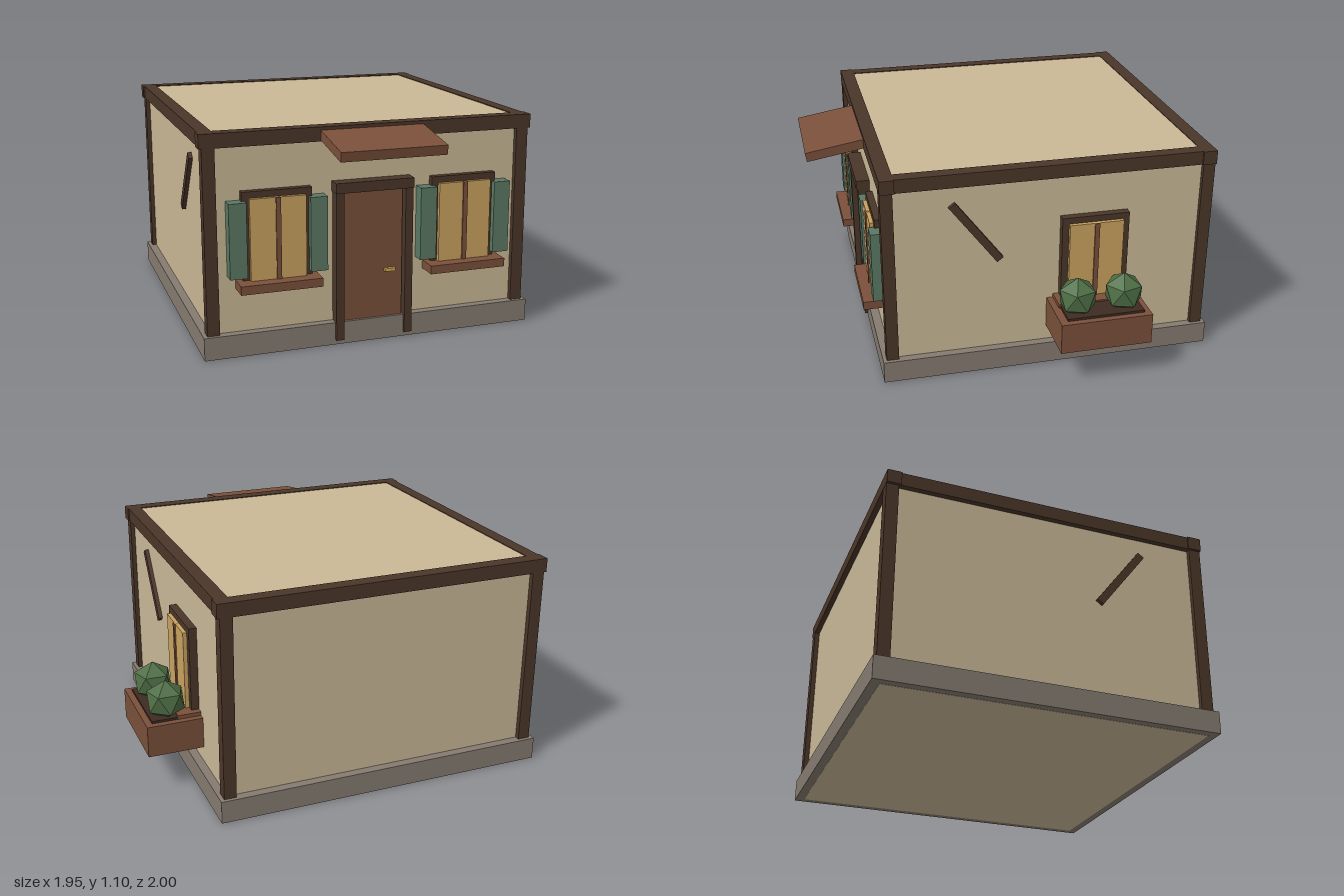
import * as THREE from 'three';

const material = (name, color) => Object.assign(new THREE.MeshStandardMaterial({ color }), { name });

export function createModel() {
  const plaster = material('plaster', 0xc9b896);
  const timber = material('dark timber', 0x4b3629);
  const wood = material('brown wood', 0x7a503a);
  const glass = material('amber glass', 0xc9a25f);
  const green = material('shutter green', 0x5b7863);
  const stone = material('stone', 0x857b70);
  const leaf = material('leaf green', 0x4e6e45);
  const soil = material('soil', 0x3e2b21);
  const brass = material('brass', 0xd4aa55);
  leaf.flatShading = true;

  const model = new THREE.Group();
  model.name = 'cottage';

  // Box given by its minimum and maximum corners
  function box(parent, name, mat, x0, x1, y0, y1, z0, z1) {
    const mesh = new THREE.Mesh(new THREE.BoxGeometry(x1 - x0, y1 - y0, z1 - z0), mat);
    mesh.position.set((x0 + x1) / 2, (y0 + y1) / 2, (z0 + z1) / 2);
    mesh.name = name;
    parent.add(mesh);
    return mesh;
  }

  // House body, centred on its own plan
  const house = new THREE.Group();
  house.name = 'house';
  house.position.set(-0.122, 0, -0.14);
  model.add(house);
  box(house, 'foundation', stone, -0.858, 0.858, 0, 0.115, -0.86, 0.86);
  box(house, 'walls', plaster, -0.815, 0.815, -0.001, 1.096, -0.815, 0.815);

  // Corner posts, top beams and side braces
  for (const s of [-1, 1]) {
    for (const t of [-1, 1]) {
      const post = box(house, 'cornerPost', timber, -0.031, 0.031, 0.115, 1.03, -0.031, 0.031);
      post.position.x = s * 0.807;
      post.position.z = t * 0.81;
    }
    const cross = box(house, 'crossBeam', timber, -0.851, 0.851, 1.03, 1.1, -0.036, 0.036);
    cross.position.z = s * 0.806;
    const side = box(house, 'sideBeam', timber, -0.034, 0.034, 1.03, 1.1, -0.77, 0.77);
    side.position.x = s * 0.809;
    const brace = box(house, 'brace', timber, -0.02, 0.02, -0.198, 0.198, -0.02, 0.02);
    brace.position.set(s * 0.815, 0.775, 0.376);
    brace.rotation.x = 0.646;
  }

  // Window facing +z with its origin on the wall plane
  function makeWindow(x, z, turn, shutters) {
    const w = new THREE.Group();
    w.name = 'window';
    w.position.set(x, 0, z);
    w.rotation.y = turn;
    model.add(w);
    box(w, 'windowLintel', timber, -0.173, 0.173, 0.78, 0.815, -0.01, 0.035);
    for (const s of [-1, 1]) {
      const jamb = box(w, 'windowJamb', timber, -0.017, 0.017, 0.38, 0.78, -0.01, 0.035);
      jamb.position.x = s * 0.156;
    }
    box(w, 'glass', glass, -0.139, 0.139, 0.38, 0.783, -0.01, 0.055);
    box(w, 'mullion', wood, -0.012, 0.012, 0.38, 0.783, 0, 0.062);
    box(w, 'sill', wood, -0.203, 0.203, 0.335, 0.378, -0.01, 0.113);
    if (!shutters) return;
    for (const s of [-1, 1]) {
      const shutter = box(w, 'shutter', green, -0.043, 0.043, 0.4, 0.77, 0, 0.066);
      shutter.position.x = s * 0.2;
    }
  }
  makeWindow(-0.607, 0.675, 0, true);
  makeWindow(0.363, 0.675, 0, true);
  makeWindow(0.698, -0.365, Math.PI / 2, false);

  // Door with frame, handle and awning
  const door = new THREE.Group();
  door.name = 'door';
  model.add(door);
  box(door, 'doorLeaf', wood, -0.277, 0.035, 0.1, 0.78, 0.66, 0.705);
  for (const x of [-0.3, 0.06]) box(door, 'doorPost', timber, x - 0.02, x + 0.02, 0.025, 0.78, 0.66, 0.737);
  box(door, 'doorLintel', timber, -0.323, 0.081, 0.777, 0.828, 0.66, 0.746);
  box(door, 'doorHandle', brass, -0.06, -0.005, 0.353, 0.368, 0.7, 0.725);
  const awning = box(door, 'awning', wood, -0.385, 0.142, -0.024, 0.024, -0.16, 0.16);
  awning.position.set(-0.1215, 1.037, 0.838);
  awning.rotation.x = 0.165;

  // Planter box with two shrubs under the side window
  const planter = new THREE.Group();
  planter.name = 'planter';
  model.add(planter);
  box(planter, 'planterBox', wood, 0.69, 0.975, 0.197, 0.358, -0.6, -0.13);
  box(planter, 'soil', soil, 0.72, 0.943, 0.34, 0.37, -0.567, -0.17);
  for (const z of [-0.245, -0.485]) {
    const shrubShape = new THREE.IcosahedronGeometry(0.104, 0);
    shrubShape.rotateZ(0.5536); // one corner points straight up
    const shrub = new THREE.Mesh(shrubShape, leaf);
    shrub.name = 'shrub';
    shrub.position.set(0.848, 0.437, z);
    shrub.rotation.y = 0.3;
    planter.add(shrub);
  }
  return model;
}
